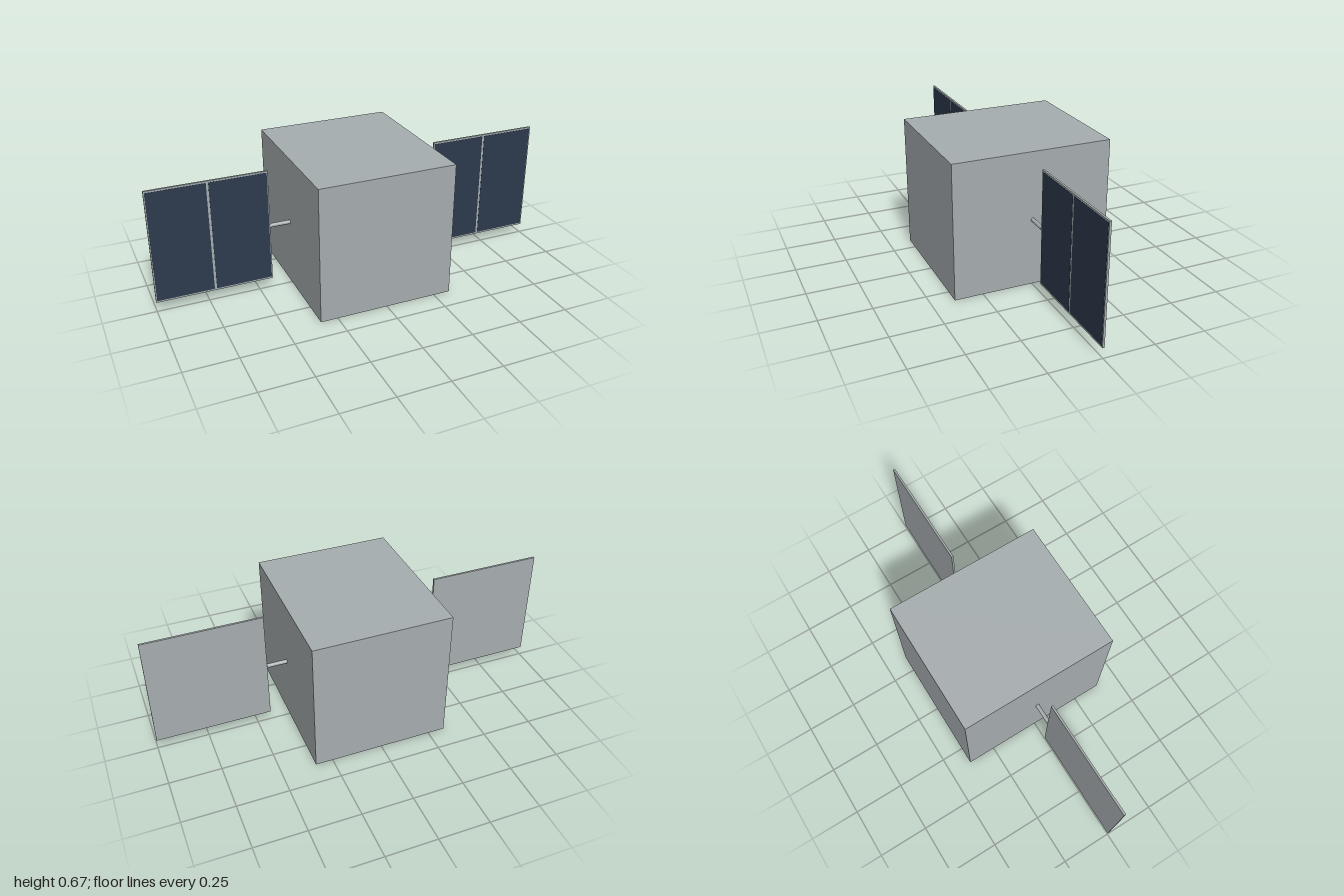
import * as THREE from 'three';

export function createModel() {
  const model = new THREE.Group();
  model.name = 'satellite';

  const hullGrey = new THREE.MeshStandardMaterial({ color: 0xa6adaf });
  hullGrey.name = 'hull grey';
  const cellBlue = new THREE.MeshStandardMaterial({ color: 0x2c3a4d });
  cellBlue.name = 'solar cell blue';

  const midY = 1 / 3;

  function add(parent, name, geometry, material, x, y, z) {
    const mesh = new THREE.Mesh(geometry, material);
    mesh.name = name;
    mesh.position.set(x, y, z);
    parent.add(mesh);
    return mesh;
  }

  // Main box
  add(model, 'body', new THREE.BoxGeometry(0.667, 0.667, 0.778), hullGrey, 0, midY, 0);

  // Wings: boom, backing panel and two solar cells on the front
  const boomGeometry = new THREE.CylinderGeometry(0.01, 0.01, 0.1, 16).rotateZ(Math.PI / 2);
  const panelGeometry = new THREE.BoxGeometry(0.567, 0.567, 0.01);
  const cellGeometry = new THREE.BoxGeometry(0.273, 0.55, 0.001);

  for (const [side, sign] of [['left', 1], ['right', -1]]) {
    const wing = new THREE.Group();
    wing.name = side + 'Wing';
    wing.position.y = midY;
    model.add(wing);

    add(wing, 'boom', boomGeometry, hullGrey, sign * 0.383, 0, 0);
    add(wing, 'panel', panelGeometry, hullGrey, sign * 0.7165, 0, 0);
    for (const offset of [-0.142, 0.142]) {
      add(wing, 'solarCell', cellGeometry, cellBlue, sign * 0.7165 + offset, 0, 0.0055);
    }
  }

  return model;
}
